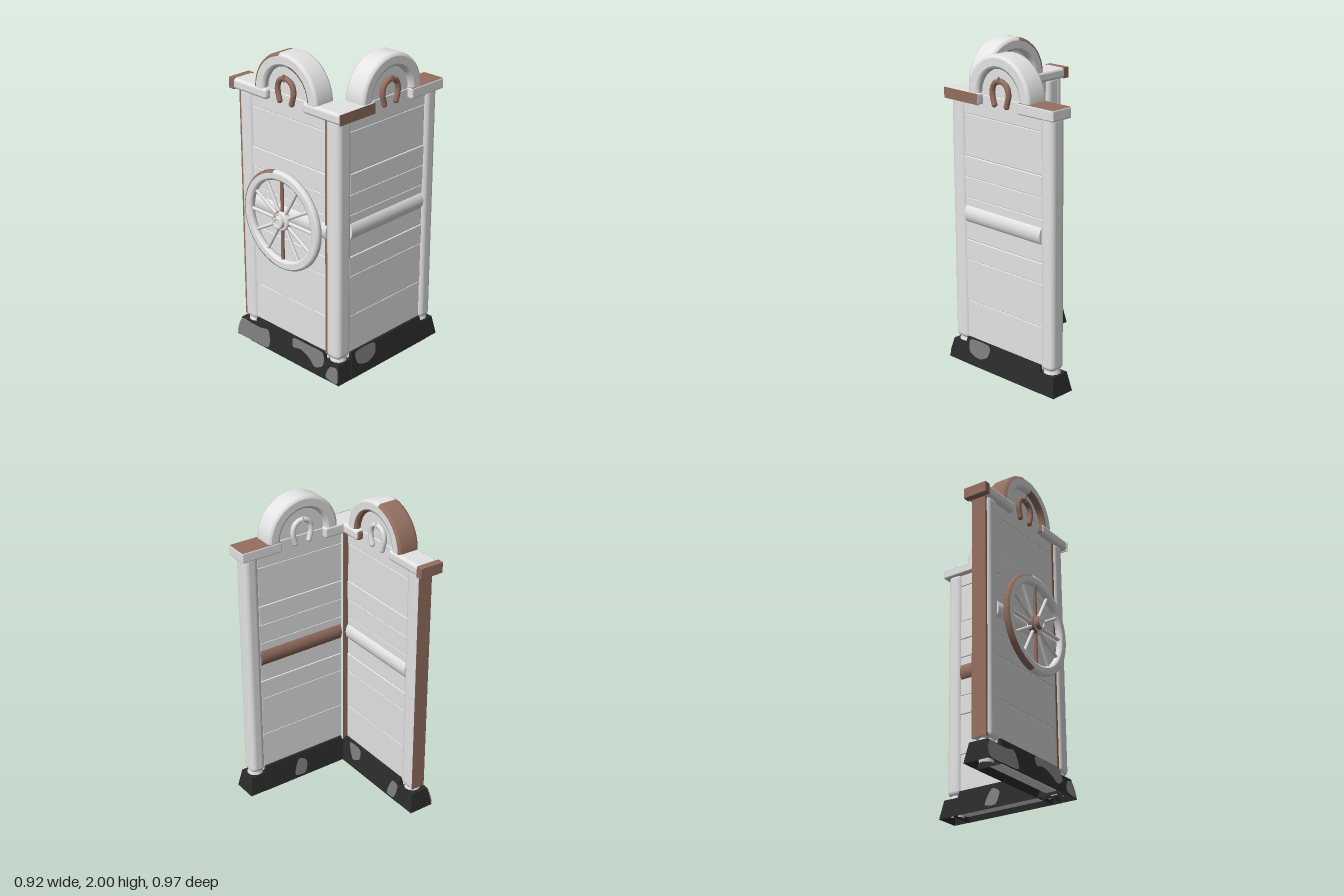
import * as THREE from 'three';
import { RoundedBoxGeometry } from 'three/addons/geometries/RoundedBoxGeometry.js';

const material = (name, color, side = THREE.FrontSide) => {
  const m = new THREE.MeshStandardMaterial({ color, side });
  m.name = name;
  return m;
};

export function createModel() {
  const pale = material('paleWood', 0xe4e4e4);
  const brown = material('brownWood', 0x947060);
  const black = material('blackStone', 0x2b2b2b, THREE.DoubleSide);
  const grey = material('greyStone', 0x7b7b7b, THREE.DoubleSide);
  const model = new THREE.Group();

  const add = (parent, name, geometry, mat, x = 0, y = 0, z = 0) => {
    const mesh = new THREE.Mesh(geometry, mat);
    mesh.name = name;
    mesh.position.set(x, y, z);
    parent.add(mesh);
    return mesh;
  };

  // Rounded block between two corners; brownSides lists faces: 0 +x, 1 -x, 2 +y, 3 -y, 4 +z, 5 -z
  const block = (parent, name, [x0, x1], [y0, y1], [z0, z1], radius, brownSides = []) => {
    const mats = [0, 1, 2, 3, 4, 5].map(i => (brownSides.includes(i) ? brown : pale));
    return add(parent, name, new RoundedBoxGeometry(x1 - x0, y1 - y0, z1 - z0, 3, radius), mats,
      (x0 + x1) / 2, (y0 + y1) / 2, (z0 + z1) / 2);
  };

  // Ring around the z axis with bevelled edges; outer left and inner right can take other colours
  const ring = (parent, name, [R, r], [z0, z1], b, outerMat, innerMat, start = -Infinity, end = Infinity) => {
    const g = new THREE.Group();
    g.name = name;
    parent.add(g);
    const piece = (part, profile, from, to, mat) => {
      const a = Math.max(from, start), len = Math.min(to, end) - a;
      const pts = profile.map(p => new THREE.Vector2(...p));
      const geo = new THREE.LatheGeometry(pts, Math.ceil(len * 20), a + Math.PI / 2, len);
      add(g, part, geo.rotateX(Math.PI / 2), mat);
    };
    const c = b * 0.3, whole = 2 * Math.PI, lap = 0.001;
    const outer = [[R - b, z0], [R - c, z0 + c], [R, z0 + b], [R, z1 - b], [R - c, z1 - c], [R - b, z1]];
    const inner = [[r + b, z1], [r + c, z1 - c], [r, z1 - b], [r, z0 + b], [r + c, z0 + c], [r + b, z0]];
    piece('outerRight', outer, -1.75, 1.75, pale);
    piece('outerLeft', outer, 1.75, whole - 1.75, outerMat);
    piece('innerRight', inner, -1.4, 1.4, innerMat);
    piece('innerLeft', inner, 1.4, whole - 1.4, pale);
    piece('frontFace', [[R - b + lap, z1], [r + b - lap, z1]], 0, whole, pale);
    piece('backFace', [[r + b - lap, z0], [R - b + lap, z0]], 0, whole, pale);
    return g;
  };

  // Horseshoe path: an arc that opens downwards
  const shoeCurve = new THREE.CatmullRomCurve3([-0.05, -0.066, -0.05, 0, 0.05, 0.066, 0.05].map((x, i) =>
    new THREE.Vector3(x, [1.7, 1.77, 1.82, 1.842, 1.82, 1.77, 1.7][i], 0)));
  const horseshoe = (parent, x, z, mat) => {
    const g = new THREE.Group();
    g.name = 'horseshoe';
    g.position.set(x, 0, z);
    parent.add(g);
    add(g, 'shoe', new THREE.TubeGeometry(shoeCurve, 32, 0.017, 10), mat);
    for (const i of [0, 6]) {
      const p = shoeCurve.points[i];
      add(g, 'shoeTip', new THREE.SphereGeometry(0.018, 10, 8), mat, p.x, p.y, 0);
    }
    add(g, 'nail', new THREE.CylinderGeometry(0.006, 0.004, 0.045, 8), mat, 0, 1.846, Math.sign(z) * 0.014);
  };

  // One plank wall with rail, arch and horseshoes, running along local x
  const seams = [0.02, 0.41, 0.68, 0.81, 1.08, 1.21, 1.34, 1.6, 1.74];
  const wall = (name, x, z, turn, shoeX, [R, r], archMat, innerRailMat) => {
    const g = new THREE.Group();
    g.name = name;
    g.position.set(x, 0, z);
    g.rotation.y = turn;
    model.add(g);
    add(g, 'boardCore', new THREE.BoxGeometry(0.64, 1.7, 0.068), pale, 0, 0.88, 0);
    for (let i = 0; i + 1 < seams.length; i++) {
      const depth = 0.038 + (i % 3) * 0.002;
      block(g, 'plank', [-0.32, 0.32], [seams[i] + 0.0005, seams[i + 1] - 0.0005], [-depth, depth], 0.005);
    }
    // Rail made of two half-round bars
    for (const [part, from, mat] of [['outerRail', -Math.PI / 2, pale], ['innerRail', Math.PI / 2, innerRailMat]]) {
      const half = new THREE.CylinderGeometry(1, 1, 0.63, 20, 1, false, from, Math.PI);
      add(g, part, half.rotateZ(Math.PI / 2).scale(1, 0.07, 0.056), mat, 0, 0.975, 0);
    }
    const arch = ring(g, 'arch', [R, r], [-0.073, 0.073], 0.02, archMat, archMat, 0, Math.PI);
    arch.position.y = 1.998 - R;
    const fill = add(g, 'archPanel', new THREE.CylinderGeometry(0.2, 0.2, 0.07, 40), pale, 0, 1.741, 0);
    fill.rotation.x = Math.PI / 2;
    horseshoe(g, shoeX, 0.05, brown);
    horseshoe(g, shoeX, -0.05, pale);
  };
  wall('frontWall', 0.01, 0.333, 0, -0.013, [0.259, 0.176], brown, pale);
  wall('sideWall', 0.376, -0.037, Math.PI / 2, 0, [0.25, 0.166], pale, brown);

  // Posts with rounded feet
  const posts = [
    ['leftPost', [-0.408, -0.298], [0.272, 0.388]],
    ['cornerPost', [0.316, 0.428], [0.272, 0.388]],
    ['rearPost', [0.318, 0.433], [-0.452, -0.352]],
  ];
  const footProfile = [[0.04, 0.01], [0.052, 0.1], [0.053, 0.12], [0.049, 0.135], [0.045, 0.148], [0.046, 0.18]]
    .map(p => new THREE.Vector2(...p));
  for (const [name, xs, zs] of posts) {
    block(model, name, xs, [0.14, 1.7], zs, 0.035);
    add(model, name + 'Foot', new THREE.LatheGeometry(footProfile, 20), pale,
      (xs[0] + xs[1]) / 2, 0, (zs[0] + zs[1]) / 2);
  }
  // Brown side strips on the two front posts
  block(model, 'leftPostSide', [-0.416, -0.392], [0.15, 1.69], [0.274, 0.374], 0.003, [1, 4]);
  block(model, 'cornerPostSide', [0.308, 0.332], [0.15, 1.69], [0.255, 0.378], 0.003, [1, 4]);

  // Cap beams on either side of the arches
  const capY = [1.68, 1.748], allSides = [0, 1, 2, 3, 4, 5];
  block(model, 'leftCap', [-0.45, -0.145], capY, [0.252, 0.41], 0.02);
  block(model, 'leftCapEnd', [-0.465, -0.42], [1.679, 1.749], [0.251, 0.411], 0.003, allSides);
  block(model, 'cornerCapFront', [0.156, 0.455], capY, [0.252, 0.41], 0.02, [1]);
  block(model, 'cornerCapSide', [0.3, 0.455], capY, [0.12, 0.29], 0.012);
  block(model, 'cornerCapFace', [0.449, 0.457], capY, [0.12, 0.41], 0.002, [0]);
  block(model, 'rearCap', [0.3, 0.455], capY, [-0.478, -0.198], 0.01, [2]);

  // Wagon wheel with hub and spokes
  const wheel = new THREE.Group();
  wheel.name = 'wagonWheel';
  wheel.position.set(0.01, 0.968, 0);
  model.add(wheel);
  ring(wheel, 'rim', [0.318, 0.255], [0.415, 0.459], 0.016, brown, pale);
  ring(wheel, 'hub', [0.062, 0.025], [0.418, 0.46], 0.01, brown, pale);
  ring(wheel, 'hubNose', [0.042, 0.018], [0.45, 0.487], 0.007, brown, pale);
  const axle = add(wheel, 'axle', new THREE.CylinderGeometry(0.019, 0.019, 0.14, 16), pale, 0, 0, 0.41);
  axle.rotation.x = Math.PI / 2;
  for (let i = 0; i < 12; i++) {
    const a = i * Math.PI / 6;
    const spoke = add(wheel, 'spoke', new THREE.CylinderGeometry(0.011, 0.011, 0.22, 10),
      i % 6 === 3 ? brown : pale, 0.155 * Math.cos(a), 0.155 * Math.sin(a), 0.437);
    spoke.rotation.z = a - Math.PI / 2;
  }

  // Stone base: hollow skirts with sloping sides, open underneath
  const slope = 0.18;
  const plinth = (name, [x0, x1], [z0, z1], h) => {
    const geo = new THREE.BoxGeometry(x1 - x0, h, z1 - z0);
    const p = geo.attributes.position;
    for (let i = 0; i < p.count; i++) {
      if (p.getY(i) < 0) continue;
      p.setX(i, p.getX(i) - Math.sign(p.getX(i)) * slope * h);
      p.setZ(i, p.getZ(i) - Math.sign(p.getZ(i)) * slope * h);
    }
    geo.computeVertexNormals();
    const mats = [black, black, black, null, black, black];
    geo.groups = geo.groups.filter(g => mats[g.materialIndex]);
    geo.groups.forEach(g => { g.materialIndex = 0; });
    add(model, name, geo, [black], (x0 + x1) / 2, h / 2, (z0 + z1) / 2);
  };
  plinth('frontBase', [-0.452, 0.457], [0.245, 0.415], 0.124);
  plinth('sideBase', [0.294, 0.457], [-0.487, 0.415], 0.124);
  plinth('frontBaseRise', [-0.325, 0.34], [0.243, 0.417], 0.165);
  plinth('sideBaseRise', [0.292, 0.459], [-0.38, 0.305], 0.165);

  // Grey stains lying on the sloping faces
  const stain = (pts, x, z, turn) => {
    const curve = new THREE.CatmullRomCurve3(pts.map(p => new THREE.Vector3(p[0], p[1], 0)), true, 'catmullrom', 0.4);
    const shape = new THREE.Shape(curve.getPoints(40).map(p => new THREE.Vector2(p.x, p.y)));
    const mesh = add(model, 'stain', new THREE.ShapeGeometry(shape), grey, x, 0.002, z);
    mesh.rotation.set(-Math.atan(slope), turn, 0, 'YXZ');
  };
  const front = 0.42, right = 0.462, frontInner = 0.24, sideInner = 0.289;
  stain([[-0.445, 0.01], [-0.3, 0.004], [-0.17, 0.01], [-0.155, 0.06], [-0.18, 0.125], [-0.25, 0.115], [-0.33, 0.115], [-0.425, 0.115]], 0, front, 0);
  stain([[0.045, 0.158], [0.17, 0.162], [0.3, 0.158], [0.315, 0.08], [0.25, 0.045], [0.2, 0.08], [0.12, 0.11], [0.05, 0.1]], 0, front, 0);
  stain([[0.35, 0.02], [0.445, 0.01], [0.43, 0.1], [0.37, 0.09]], 0, front, 0);
  stain([[-0.24, 0.158], [-0.08, 0.158], [-0.08, 0.09], [-0.15, 0.055], [-0.235, 0.08]], right, 0, Math.PI / 2);
  stain([[-0.24, 0.158], [-0.13, 0.158], [-0.12, 0.09], [-0.19, 0.06]], 0, frontInner, Math.PI);
  stain([[0.2, 0.02], [0.27, 0.02], [0.29, 0.11], [0.23, 0.12]], 0, frontInner, Math.PI);
  stain([[-0.14, 0.03], [-0.06, 0.02], [-0.04, 0.1], [-0.1, 0.13]], sideInner, 0, -Math.PI / 2);

  return model;
}
